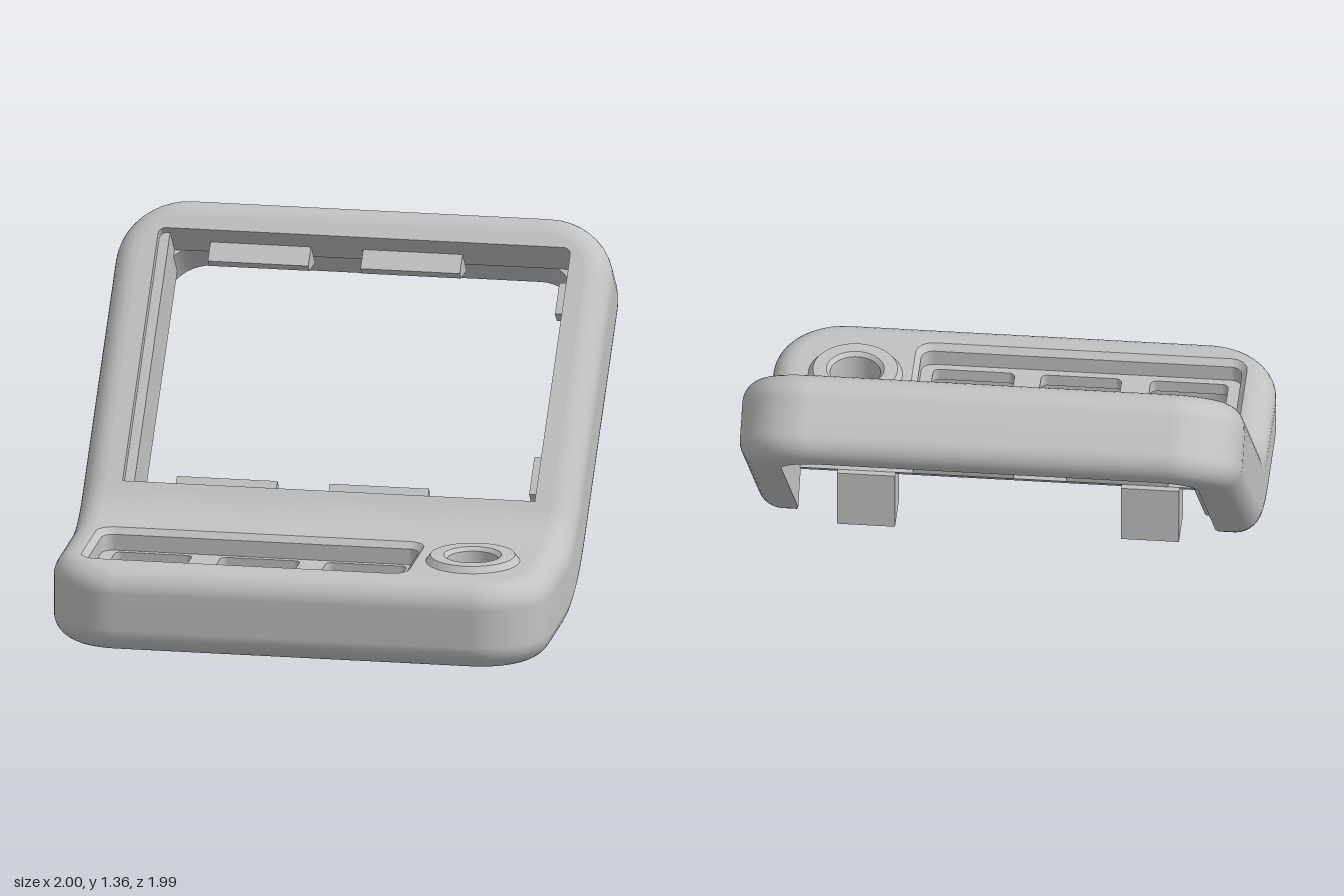
import * as THREE from 'three';

// Flat slab coordinates: x across, s along the slab (front to back), t thickness.
const T = 0.35, ZC = 0.385, YC = 0.66, RN = YC - T / 2;  // bend axis and neutral radius
const S1 = RN * Math.PI / 4;                             // slab is bent for s in 0..S1
const S_FRONT = -0.605, S_END = 1.735, W0 = 0.42, W1 = 1.57;
const FILLET = 0.1, UNDER = 0.25, FLOOR = 0.26, TRAY = 0.21, STEP = 0.17;
const BAND = Array.from({ length: 11 }, (_, k) => S1 * k / 10);

function bend(x, s, t) {
  if (s <= 0) return [x, t, ZC - s];
  const a = Math.min(s, S1) / RN, d = Math.max(0, s - S1) * Math.SQRT1_2;
  return [x, YC - (YC - t) * Math.cos(a) + d, ZC - (YC - t) * Math.sin(a) - d];
}

function bendGeometry(geo) {
  const p = geo.attributes.position;
  for (let i = 0; i < p.count; i++) p.setXYZ(i, ...bend(p.getX(i), p.getY(i), p.getZ(i)));
  geo.computeVertexNormals();
  return geo;
}

// Surface through rows of [x, s, t] points
function grid(rows, closed = false, flip = false) {
  const n = rows[0].length, index = [];
  for (let i = 0; i < rows.length - 1; i++) {
    for (let j = 0; j < (closed ? n : n - 1); j++) {
      const k = (j + 1) % n;
      const a = i * n + j, b = i * n + k, c = a + n, d = b + n;
      if (flip) index.push(a, d, b, a, c, d);
      else index.push(a, b, d, a, d, c);
    }
  }
  const geo = new THREE.BufferGeometry();
  geo.setAttribute('position', new THREE.Float32BufferAttribute(rows.flat(2), 3));
  geo.setIndex(index);
  return bendGeometry(geo);
}

// Flat face at height t from an outline and holes
function face(points, holes, t, flip = false) {
  const vec = list => list.map(([x, s]) => new THREE.Vector2(x, s));
  const shape = new THREE.Shape(vec(points));
  shape.holes = holes.map(h => new THREE.Path(vec(h)));
  const geo = new THREE.ShapeGeometry(shape).translate(0, 0, t);
  if (flip) geo.index.array.reverse();
  return bendGeometry(geo);
}

// Rounded rectangle, counter-clockwise, with extra points on the long sides
function outline(x0, x1, s0, s1, r0, r1 = r0, sides = []) {
  const pts = [];
  const arc = (cx, cs, r, start) => {
    for (let k = 0; k <= 10; k++) {
      const a = start + k * Math.PI / 20;
      pts.push([cx + r * Math.cos(a), cs + r * Math.sin(a)]);
    }
  };
  arc(x0 + r0, s0 + r0, r0, Math.PI);
  arc(x1 - r0, s0 + r0, r0, Math.PI * 1.5);
  sides.forEach(s => pts.push([x1, s]));
  arc(x1 - r1, s1 - r1, r1, 0);
  arc(x0 + r1, s1 - r1, r1, Math.PI / 2);
  [...sides].reverse().forEach(s => pts.push([x0, s]));
  return pts;
}

const atHeight = (pts, t) => pts.map(([x, s]) => [x, s, t]);
const circle = (cx, cs, r) => outline(cx - r, cx + r, cs - r, cs + r, r);

// Flat box in slab coordinates
function slabBox(x0, x1, s0, s1, t0, t1, rule) {
  const geo = new THREE.BoxGeometry(x1 - x0, s1 - s0, t1 - t0);
  geo.translate((x0 + x1) / 2, (s0 + s1) / 2, (t0 + t1) / 2);
  const p = geo.attributes.position;
  if (rule) for (let i = 0; i < p.count; i++) p.setZ(i, rule(p.getY(i), p.getZ(i)));
  return bendGeometry(geo);
}

export function createModel() {
  const model = new THREE.Group();
  const grey = new THREE.MeshStandardMaterial({ color: 0xc2c2c2, side: THREE.DoubleSide });
  grey.name = 'plainGrey';
  const add = (name, geo) => {
    const mesh = new THREE.Mesh(geo, grey);
    mesh.name = name;
    model.add(mesh);
    return mesh;
  };

  const sides = [...BAND, W0];
  const outer = i => outline(-1 + i, 1 - i, S_FRONT + i, S_END - i, 0.28 - i, 0.28 - i, sides);
  const innerX = s => 0.83 + 0.06 * (1 - Math.min(1, Math.max(0, s / S1)));
  const inner = (end, r) => outline(-0.83, 0.83, -0.5, end, 0.17, r, sides)
    .map(([x, s]) => [x + Math.sign(x) * (innerX(s) - 0.83), s]);
  const rear = inner(W1 + 0.03, 0.17), front = inner(W1, 0.03);
  const frontHalf = pts => {
    const h = pts.filter(p => p[1] <= 1e-6);
    return [h[h.length - 1], ...h.slice(0, -1)];
  };
  const backHalf = (pts, from = S1) => pts.filter(p => p[1] >= from - 1e-6);

  // Outer wall with rounded rims
  const layers = [];
  for (let k = 0; k <= 8; k++) {
    const a = k * Math.PI / 16;
    layers.push([FILLET * (1 - Math.sin(a)), FILLET * (1 - Math.cos(a))]);
  }
  for (let k = 8; k >= 0; k--) layers.push([layers[k][0], T - layers[k][1]]);
  add('outerWall', grid(layers.map(([i, t]) => atHeight(outer(i), t)), true));

  // Inner wall with a step, reaching the front face only around the window
  add('rearInnerWall', grid([atHeight(rear, 0), atHeight(rear, STEP)], true, true));
  add('innerStep', grid([atHeight(rear, STEP), atHeight(front, STEP)], true, true));
  add('frontInnerWall', grid([
    atHeight(front, STEP),
    front.map(([x, s]) => [x, s, s > S1 + 1e-6 ? T : UNDER]),
  ], true, true));

  // Button openings and knob hole
  const rim = outer(FILLET);
  const recess = i => outline(-0.88 + i, 0.44 - i, -0.458 + i, -0.002 - i, 0.07 - i);
  const buttons = [[-0.805, -0.495], [-0.38, -0.06], [0.045, 0.37]]
    .map(([a, b]) => outline(a, b, -0.405, -0.047, 0.025));
  const knobX = 0.665, knobS = -0.225;

  // Front faces: control panel, bend, screen frame
  const across = (t, a, b) => BAND.map(s => [[a(s), s, t], [b(s), s, t]]);
  const edge = 1 - FILLET;
  add('controlPanel', face(frontHalf(rim), [recess(0), circle(knobX, knobS, 0.17)], T));
  add('bendTop', grid(across(T, () => -edge, () => edge)));
  add('screenFrame', face(backHalf(rim), [backHalf(front, W0)], T));

  // Rear rims
  add('baseRim', face([...frontHalf(rim), ...frontHalf(rear).reverse()], [], 0, true));
  add('screenRim', face([...backHalf(rim), ...backHalf(rear).reverse()], [], 0, true));
  add('bendRimLeft', grid(across(0, innerX, () => edge), false, true));
  add('bendRimRight', grid(across(0, () => -edge, s => -innerX(s)), false, true));

  // Deep button tray: chamfered edge, wall, floor and underside
  const trayOuter = outline(-0.885, 0.465, -0.485, 0, 0.09);
  add('trayEdge', grid([atHeight(recess(0.022), 0.325), atHeight(recess(0), T)], true, true));
  add('trayWall', grid([atHeight(recess(0.022), FLOOR), atHeight(recess(0.022), 0.325)], true, true));
  add('trayFloor', face(recess(0.022), buttons, FLOOR));
  add('trayOuterWall', grid([atHeight(trayOuter, TRAY), atHeight(trayOuter, UNDER)], true));
  add('trayUnderside', face(trayOuter, buttons, TRAY, true));
  buttons.forEach(b => add('buttonOpening', grid([atHeight(b, TRAY), atHeight(b, FLOOR)], true, true)));

  // Underside of the panel
  add('panelUnderside', face(frontHalf(front), [...buttons, circle(knobX, knobS, 0.1)], UNDER, true));
  add('bendUnderside', grid(across(UNDER, s => -innerX(s), innerX), false, true));
  add('windowSill', slabBox(-0.83, 0.83, 0.375, W0, 0.155, T - 0.002));

  // Raised knob collar
  const profile = [[0.1, UNDER], [0.1, 0.36], [0.115, 0.375], [0.168, 0.375], [0.187, T]];
  profile.slice(1).forEach((p, i) => {
    const pts = [p, profile[i]].map(([r, y]) => new THREE.Vector2(r, y));
    const collar = add('knobCollar', new THREE.LatheGeometry(pts, 48));
    collar.position.set(knobX, 0, ZC - knobS);
  });

  // Wedge clips above and below the window, flat towards the front
  const CLIP = 0.087, CLIP_TOP = 0.25;
  const wedge = tip => (s, t) => Math.abs(s - tip) < 1e-4 ? CLIP_TOP - (CLIP_TOP - t) * 0.3 : t;
  for (const [a, b] of [[-0.635, -0.23], [-0.02, 0.38]]) {
    add('upperClip', slabBox(a, b, W1 - CLIP, W1, 0.12, CLIP_TOP, wedge(W1 - CLIP)));
    add('lowerClip', slabBox(a, b, W0, W0 + CLIP, 0.155, CLIP_TOP, wedge(W0 + CLIP)));
  }

  // Ledge on one side of the window, stop tabs on the other
  add('sideLedge', slabBox(-0.835, -0.79, W0, W1, 0.05, 0.31));
  add('upperTab', slabBox(0.785, 0.835, 1.32, 1.46, 0.2, 0.257));
  add('lowerTab', slabBox(0.785, 0.835, 0.5, 0.67, 0.2, 0.257));

  // Mounting blocks under the sill
  for (const x of [-0.565, 0.565]) {
    const block = add('mountingBlock', new THREE.BoxGeometry(0.23, 0.25, 0.17));
    block.position.set(x, 0.205, 0.06);
  }
  return model;
}
